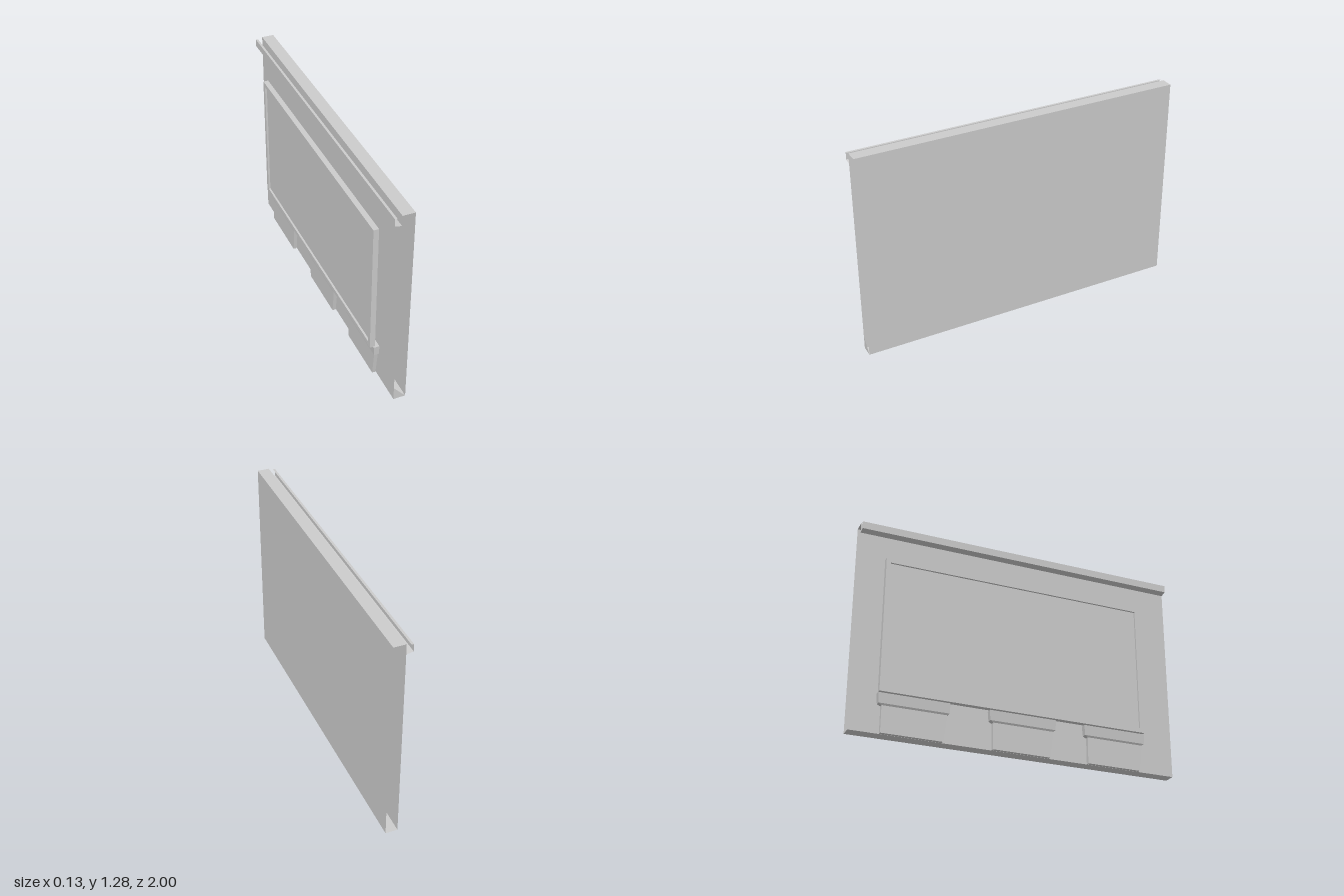
import * as THREE from 'three';

const material = new THREE.MeshStandardMaterial({ color: 0xcccccc, flatShading: true, side: THREE.DoubleSide });

function add(group, name, geometry) {
  const mesh = new THREE.Mesh(geometry, material);
  mesh.name = name;
  group.add(mesh);
  return mesh;
}

// Thin folded sheet: an (x, y) profile swept along z
function foldedSheet(profile, z0, z1) {
  const pos = [];
  for (let i = 0; i < profile.length - 1; i++) {
    const [ax, ay] = profile[i], [bx, by] = profile[i + 1];
    pos.push(ax, ay, z0, bx, by, z0, bx, by, z1, ax, ay, z0, bx, by, z1, ax, ay, z1);
  }
  const g = new THREE.BufferGeometry();
  g.setAttribute('position', new THREE.Float32BufferAttribute(pos, 3));
  g.computeVertexNormals();
  return g;
}

// Bracket: a box with four levels, flared into a lip at the top
function bracketGeometry(z0, z1) {
  // y, outer x, inner x, inset at the low-z end, inset at the high-z end
  const levels = [
    [0, -0.033, -0.012, 0, 0.02],
    [0.16, -0.034, -0.011, 0, 0],
    [0.17, -0.04, -0.01, -0.02, -0.012],
    [0.23, -0.045, -0.01, -0.025, -0.015],
  ];
  const g = new THREE.BoxGeometry(1, 1, 1, 1, 3, 1);
  const p = g.attributes.position;
  for (let i = 0; i < p.count; i++) {
    const [y, outer, inner, low, high] = levels[Math.round((p.getY(i) + 0.5) * 3)];
    p.setXYZ(i, p.getX(i) < 0 ? outer : inner, y, p.getZ(i) < 0 ? z0 + low : z1 - high);
  }
  const flat = g.toNonIndexed();
  flat.computeVertexNormals();
  return flat;
}

export function createModel() {
  const model = new THREE.Group();
  model.name = 'wallPanel';
  const xBack = -0.01, xFace = 0.063, top = 1.285;

  // Hollow body, open at both ends
  add(model, 'body', foldedSheet(
    [[xBack, 0], [xFace, 0], [xFace, top], [xBack, top], [xBack, 0]], -1, 1));

  // Small corner gusset closing the foot of one end
  const gusset = new THREE.Shape([
    new THREE.Vector2(xBack, 0), new THREE.Vector2(xFace, 0), new THREE.Vector2(xBack, 0.085)]);
  add(model, 'cornerGusset', new THREE.ShapeGeometry(gusset)).position.z = 1;

  // Gutter rail along the top of the back
  add(model, 'topRail', foldedSheet(
    [[xBack, 1.222], [-0.051, 1.23], [-0.051, 1.275], [-0.037, 1.275]], -1, 1));

  // Framed panel on the back
  const z0 = -0.85, z1 = 0.79, y0 = 0.23, y1 = 1.06, border = 0.027, depth = 0.032;
  const rect = (Type, inset) => new Type([
    new THREE.Vector2(z0 + inset, y0 + inset), new THREE.Vector2(z1 - inset, y0 + inset),
    new THREE.Vector2(z1 - inset, y1 - inset), new THREE.Vector2(z0 + inset, y1 - inset)]);
  const frameShape = rect(THREE.Shape, 0);
  frameShape.holes.push(rect(THREE.Path, border));
  const frame = add(model, 'panelFrame',
    new THREE.ExtrudeGeometry(frameShape, { depth, bevelEnabled: false }));
  frame.rotation.y = -Math.PI / 2;
  frame.position.x = -0.033;

  const inset = add(model, 'recessedPanel',
    new THREE.BoxGeometry(0.02, y1 - y0 - 2 * border, z1 - z0 - 2 * border));
  inset.position.set(-0.043, (y0 + y1) / 2, (z0 + z1) / 2);

  // Three brackets under the frame
  for (const [a, b] of [[-0.825, -0.445], [-0.168, 0.205], [0.428, 0.785]]) {
    add(model, 'bracket', bracketGeometry(a, b));
  }
  return model;
}
